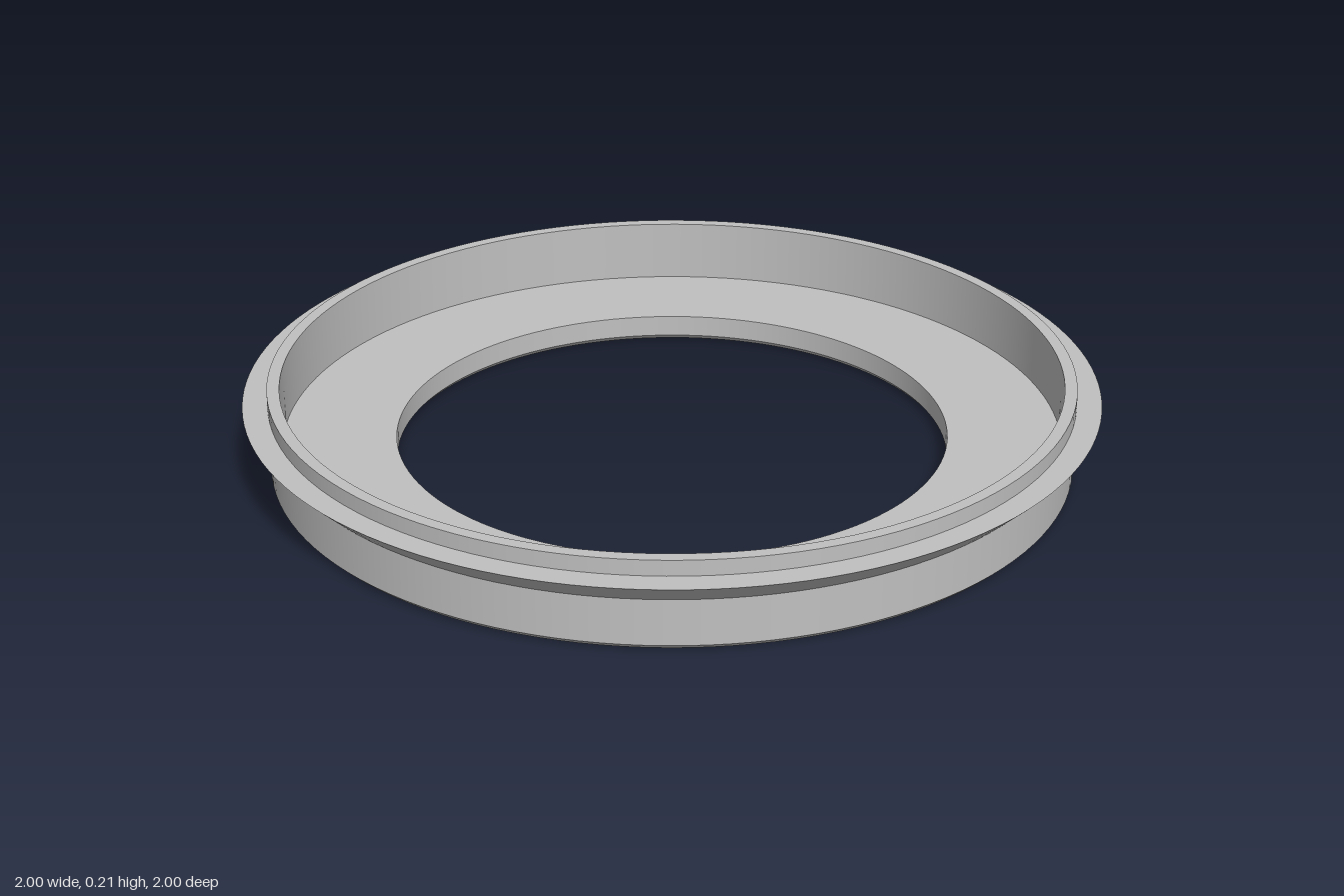
import * as THREE from 'three';
import { mergeGeometries } from 'three/addons/utils/BufferGeometryUtils.js';

// Revolves each profile segment separately so the edges between them stay sharp.
// Profiles run counter-clockwise in (radius, height), so faces point outward.
function revolve(profile) {
  const bands = [];
  for (let i = 0; i < profile.length - 1; i++) {
    const pair = [profile[i], profile[i + 1]].map(([r, y]) => new THREE.Vector2(r, y));
    bands.push(new THREE.LatheGeometry(pair, 128));
  }
  return mergeGeometries(bands);
}

export function createModel() {
  const group = new THREE.Group();
  group.name = 'flangedRing';
  const metal = new THREE.MeshStandardMaterial({ color: 0xc0c0c0 });
  metal.name = 'greyMetal';

  const parts = {
    // Flat base with chamfered bottom edges and a wide central hole
    basePlate: [[0.913, 0.064], [0.648, 0.064], [0.648, 0.012], [0.659, 0], [0.93, 0], [0.942, 0.012]],
    // Straight outer side below the flange
    outerWall: [[0.942, 0.012], [0.942, 0.121]],
    // Wedge-shaped flange: sloped below, flat on top
    flange: [[0.942, 0.121], [1, 0.176], [0.942, 0.176]],
    // Raised rim and the inside of the recess
    rim: [[0.942, 0.176], [0.942, 0.213], [0.913, 0.213], [0.913, 0.064]],
  };

  for (const [name, profile] of Object.entries(parts)) {
    const mesh = new THREE.Mesh(revolve(profile), metal);
    mesh.name = name;
    group.add(mesh);
  }
  return group;
}
